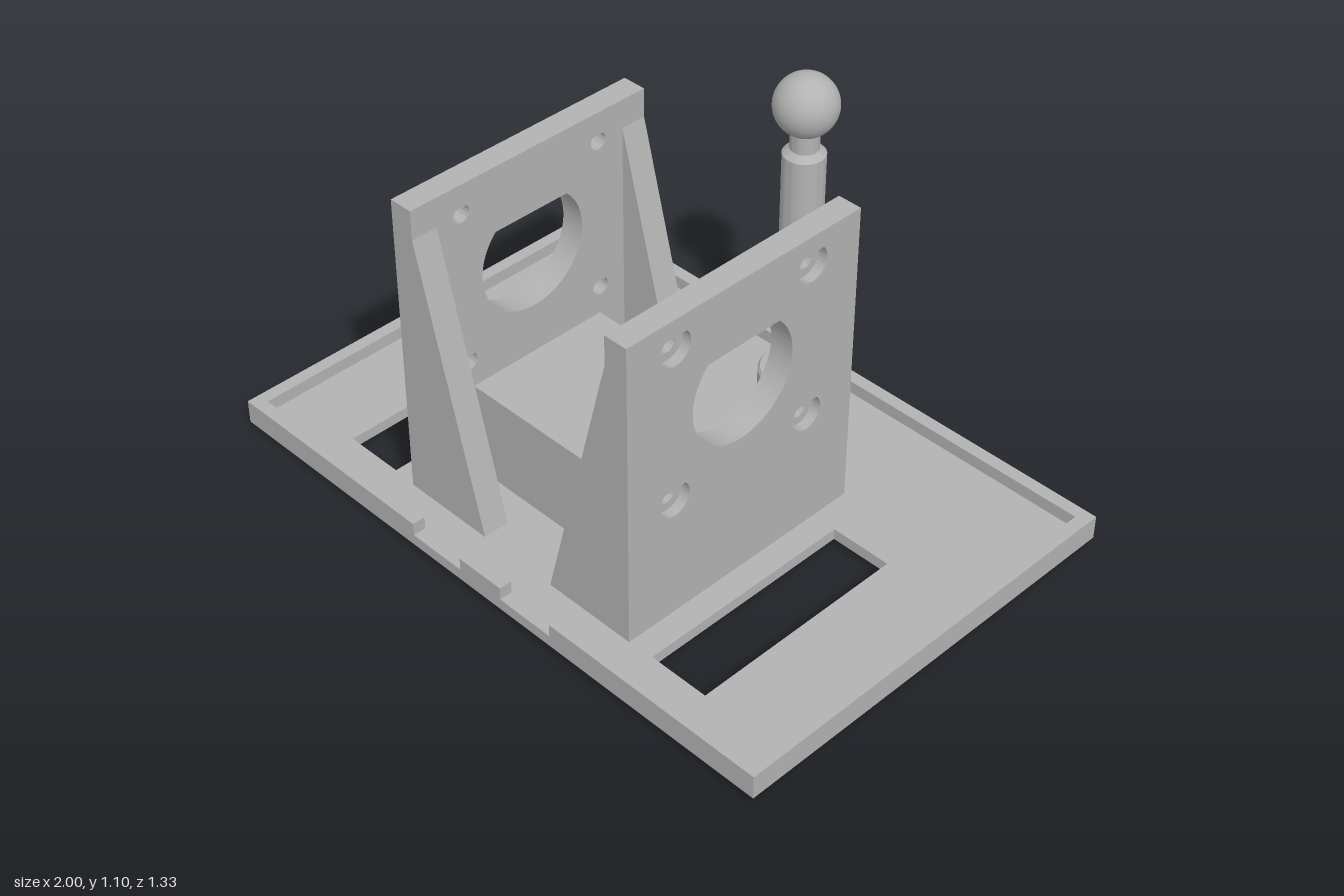
import * as THREE from 'three';
import { toCreasedNormals } from 'three/addons/utils/BufferGeometryUtils.js';

const FLOOR = 0.05, RIM_TOP = 0.09, CHAMFER = 0.015;

const polygon = (points, Type = THREE.Shape) => new Type(points.map(([x, y]) => new THREE.Vector2(x, y)));
const rectangle = (x0, x1, y0, y1, Type) => polygon([[x0, y0], [x1, y0], [x1, y1], [x0, y1]], Type);

// Round hole with a 45 degree peak
function teardrop(x, y, r) {
  const path = new THREE.Path();
  path.moveTo(x, y + r * Math.SQRT2);
  path.absarc(x, y, r, Math.PI / 4, Math.PI * 3 / 4, true);
  path.closePath();
  return path;
}

function extrude(shape, depth, steps = 1) {
  return new THREE.ExtrudeGeometry(shape, { depth, steps, bevelEnabled: false, curveSegments: 32 });
}

export function createModel() {
  const grey = new THREE.MeshStandardMaterial({ color: 0xb2b2b2 });
  grey.name = 'grey';
  const model = new THREE.Group();
  model.name = 'mountingStand';

  const add = (name, geometry, x = 0, y = 0, z = 0) => {
    const mesh = new THREE.Mesh(geometry, grey);
    mesh.name = name;
    mesh.position.set(x, y, z);
    model.add(mesh);
    return mesh;
  };

  // Base plate with two slots, chamfered along its lower edges
  const plan = rectangle(-1, 1, -0.667, 0.667);
  plan.holes.push(rectangle(-0.7, -0.51, -0.16, 0.53, THREE.Path), rectangle(0.51, 0.7, -0.16, 0.53, THREE.Path));
  const plate = extrude(plan, FLOOR, 2).rotateX(Math.PI / 2).translate(0, FLOOR, 0);
  const p = plate.attributes.position;
  for (let i = 0; i < p.count; i++) {
    const x = p.getX(i), y = p.getY(i), z = p.getZ(i);
    if (y > 0.04) continue;
    if (y > 0.01) { p.setY(i, CHAMFER); continue; }
    const side = Math.sign(x), end = Math.sign(z), ax = Math.abs(x);
    if (ax > 0.9) p.setXYZ(i, x - side * CHAMFER, 0, z - end * CHAMFER);
    else p.setXYZ(i, x + side * (ax > 0.6 ? CHAMFER : -CHAMFER), 0, z + end * CHAMFER);
  }
  plate.computeVertexNormals();
  add('basePlate', plate);

  // Raised rim, with two gaps at the front
  const rim = polygon([
    [-0.27, 0.667], [-1, 0.667], [-1, -0.667], [1, -0.667], [1, 0.667], [0.27, 0.667],
    [0.27, 0.627], [0.96, 0.627], [0.96, -0.627], [-0.96, -0.627], [-0.96, 0.627], [-0.27, 0.627],
  ]);
  const rimHeight = RIM_TOP - FLOOR;
  add('rim', extrude(rim, rimHeight).rotateX(Math.PI / 2), 0, RIM_TOP, 0);
  add('rimTab', new THREE.BoxGeometry(0.16, rimHeight, 0.04), 0, FLOOR + rimHeight / 2, 0.647);

  // One layer of a side wall, with teardrop openings
  const wallLayer = (screwRadius, thickness) => {
    const shape = rectangle(-0.287, 0.535, FLOOR, 1.01);
    shape.holes.push(teardrop(0.13, 0.68, 0.18));
    for (const z of [-0.115, 0.37]) {
      for (const y of [0.435, 0.92]) shape.holes.push(teardrop(z, y, screwRadius));
    }
    return toCreasedNormals(extrude(shape, thickness).rotateY(-Math.PI / 2), 0.5);
  };
  const inner = wallLayer(0.027, 0.045);
  const outer = wallLayer(0.052, 0.03);

  for (const [side, label] of [[1, 'left'], [-1, 'right']]) {
    // Side wall: through holes inside, wider screw recesses outside
    add(label + 'WallInner', inner, side > 0 ? 0.4 : -0.355);
    add(label + 'WallOuter', outer, side > 0 ? 0.43 : -0.4);

    // Sloping braces at both ends of the wall
    const brace = polygon([[0.355, FLOOR], [0.13, FLOOR], [0.355, 0.92]].map(([x, y]) => [x * side, y]));
    add(label + 'FrontBrace', extrude(brace, 0.082), 0, 0, 0.453);
    add(label + 'BackBrace', extrude(brace, 0.082), 0, 0, -0.287);
  }

  // Block between the walls
  add('centreBlock', new THREE.BoxGeometry(0.71, 0.345 - FLOOR, 0.47), 0, (0.345 + FLOOR) / 2, 0.125);

  // Post with flange and neck
  const profile = [
    [0, FLOOR], [0.11, FLOOR], [0.11, 0.1], [0.103, 0.11], [0.062, 0.11], [0.062, 0.85],
    [0.042, 0.867], [0.042, 0.94], [0, 0.94],
  ].map(([r, y]) => new THREE.Vector2(r, y));
  add('post', toCreasedNormals(new THREE.LatheGeometry(profile, 48), 0.5), 0, 0, -0.548);
  add('ball', new THREE.SphereGeometry(0.093, 48, 32), 0, 1.004, -0.548);

  return model;
}
